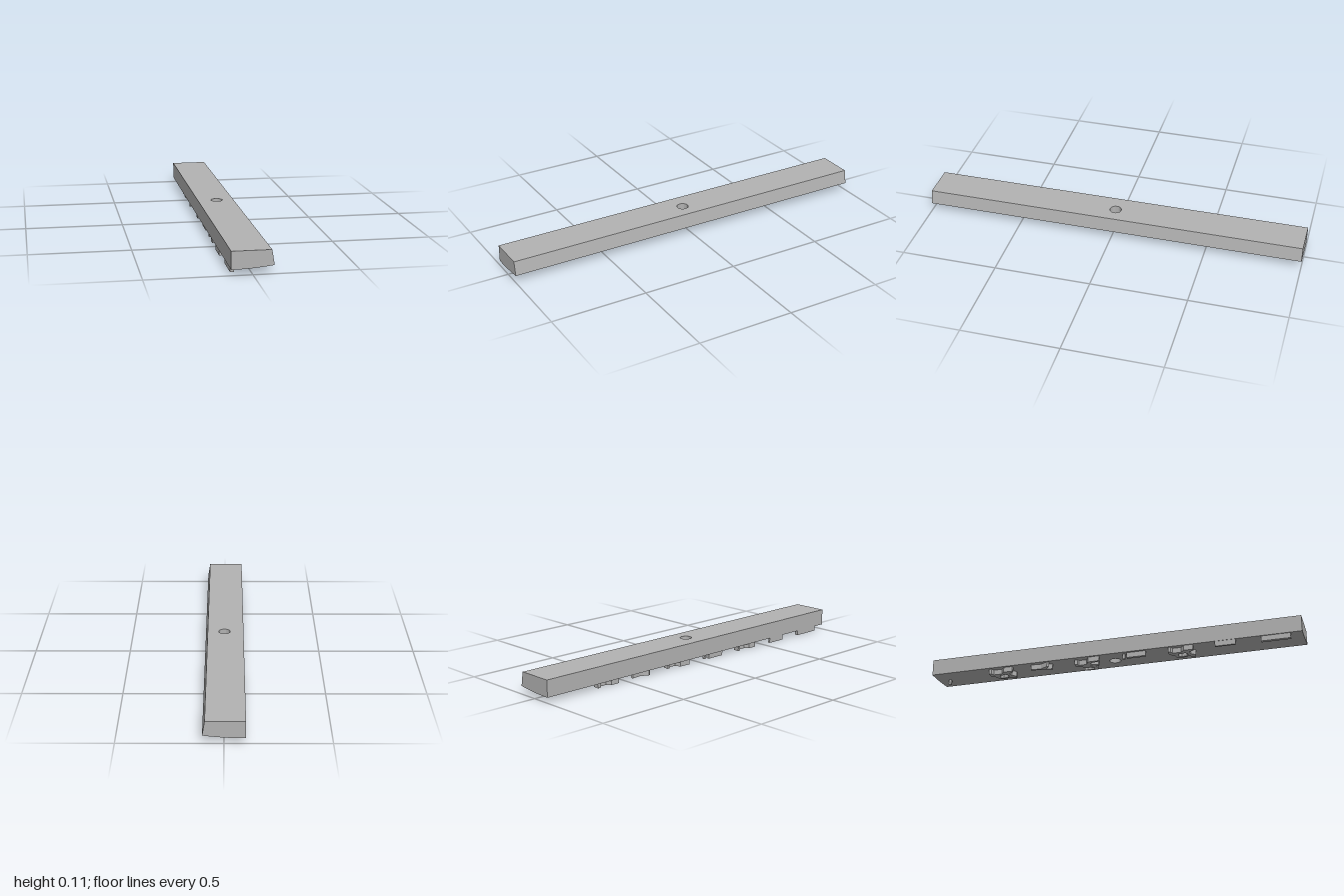
import * as THREE from 'three';
import { toCreasedNormals } from 'three/addons/utils/BufferGeometryUtils.js';

const TOP = 0.115, HALF = 0.1, TOP_EDGE = 0.088, HOLE = 0.03, MID = 0.1;

// height of the gently curved underside
const underside = (x) => 0.028 + 0.014 * ((x + HALF) / (2 * HALF)) ** 2;

// long bar section between two z positions
function barSection(z0, z1) {
  const s = new THREE.Shape();
  s.moveTo(TOP_EDGE, TOP);
  s.lineTo(-HALF, TOP);
  for (let i = 0; i <= 16; i++) {
    const x = -HALF + (2 * HALF * i) / 16;
    s.lineTo(x, underside(x));
  }
  s.closePath();
  const g = new THREE.ExtrudeGeometry(s, { depth: z1 - z0, bevelEnabled: false });
  g.translate(0, 0, z0);
  return toCreasedNormals(g, 0.4);
}

// square middle block with a round hole, built as a ring of cross-sections
function holeSection() {
  const N = 48, STEPS = 6, pos = [], idx = [];
  const row = STEPS + 3;
  for (let i = 0; i < N; i++) {
    const a = (i / N) * Math.PI * 2, c = Math.cos(a), s = Math.sin(a);
    const reach = MID / Math.max(Math.abs(c), Math.abs(s));
    pos.push(HOLE * c, TOP, HOLE * s);
    pos.push(Math.min(reach * c, TOP_EDGE), TOP, reach * s);
    for (let k = 0; k <= STEPS; k++) {
      const r = reach + ((HOLE - reach) * k) / STEPS;
      pos.push(r * c, underside(r * c), r * s);
    }
  }
  for (let i = 0; i < N; i++) {
    for (let k = 0; k < row; k++) {
      const j = (i + 1) % N, m = (k + 1) % row;
      const a = i * row + k, b = i * row + m, c = j * row + m, d = j * row + k;
      idx.push(a, d, b, b, d, c);
    }
  }
  const g = new THREE.BufferGeometry();
  g.setAttribute('position', new THREE.Float32BufferAttribute(pos, 3));
  g.setIndex(idx);
  return toCreasedNormals(g, 0.4);
}

// raised mark: plan outline in [x, z], its lower face following the underside
function relief(outline, holes = []) {
  const plan = (pts) => pts.map(([x, z]) => new THREE.Vector2(x, -z));
  const s = new THREE.Shape(plan(outline));
  s.holes = holes.map((h) => new THREE.Path(plan(h)));
  const g = new THREE.ExtrudeGeometry(s, { depth: 1, bevelEnabled: false });
  g.rotateX(-Math.PI / 2);
  const p = g.attributes.position;
  for (let i = 0; i < p.count; i++) {
    const y = underside(p.getX(i));
    p.setY(i, p.getY(i) > 0.5 ? y + 0.002 : y - 0.0275);
  }
  return toCreasedNormals(g, 0.5);
}

const rect = (x0, x1, z0, z1) => [[x0, z0], [x1, z0], [x1, z1], [x0, z1]];

export function createModel() {
  const model = new THREE.Group();
  const grey = new THREE.MeshStandardMaterial({ color: 0xb2b2b2 });
  grey.name = 'plain grey';
  const add = (name, geometry, parent = model) => {
    const mesh = new THREE.Mesh(geometry, grey);
    mesh.name = name;
    parent.add(mesh);
  };

  // body
  add('frontBar', barSection(MID, 1));
  add('backBar', barSection(-1, -MID));
  add('holeBlock', holeSection());

  // raised marks on the underside
  const marks = new THREE.Group();
  marks.name = 'undersideReliefs';
  model.add(marks);

  // straight ridges and small pegs
  const ridges = [
    [-0.095, -0.077, 0.79, 0.94], [-0.098, -0.087, 0.553, 0.66],
    [-0.088, -0.072, 0.084, 0.186], [-0.078, -0.066, 0.06, 0.074],
    [-0.01, 0.004, -0.942, -0.928],
  ];
  for (const r of ridges) add('ridge', relief(rect(...r)), marks);

  // rounded frames, each with a window and spread feet
  const frame = [
    [0.005, 0.06], [0.005, 0.045], [-0.014, 0.03], [0.002, -0.01], [-0.006, -0.035],
    [-0.036, -0.042], [-0.06, -0.066], [-0.092, -0.066], [-0.092, -0.052],
    [-0.074, -0.045], [-0.074, 0.0], [-0.094, 0.018], [-0.094, 0.066],
    [-0.078, 0.066], [-0.066, 0.04], [-0.04, 0.045], [-0.02, 0.066],
  ];
  const frameWindow = [[-0.022, 0.02], [-0.014, -0.01], [-0.022, -0.024], [-0.052, -0.02], [-0.058, 0.018], [-0.04, 0.03]];
  for (const [z, dx] of [[0.372, 0], [-0.612, 0.006]]) {
    const move = ([px, pz]) => [px + dx, pz + z];
    add('frameRelief', relief(frame.map(move), [frameWindow.map(move)]), marks);
  }

  // winding ridge beside the hole
  add('windingRelief', relief([
    [0.027, -0.102], [0.027, -0.165], [0.014, -0.172], [0.012, -0.118], [-0.01, -0.112],
    [-0.016, -0.165], [-0.04, -0.172], [-0.048, -0.202], [-0.075, -0.202], [-0.075, -0.186],
    [-0.06, -0.182], [-0.062, -0.14], [-0.09, -0.125], [-0.092, -0.064], [-0.078, -0.064],
    [-0.074, -0.11], [-0.052, -0.12], [-0.042, -0.08], [-0.028, -0.08], [-0.034, -0.15],
    [-0.024, -0.098], [0.0, -0.092],
  ]), marks);

  // slanted ridge with a short spur
  add('slantedRelief', relief([
    [-0.048, -0.33], [-0.068, -0.447], [-0.078, -0.444], [-0.073, -0.39],
    [-0.094, -0.35], [-0.09, -0.34], [-0.066, -0.36], [-0.058, -0.33],
  ]), marks);

  return model;
}
